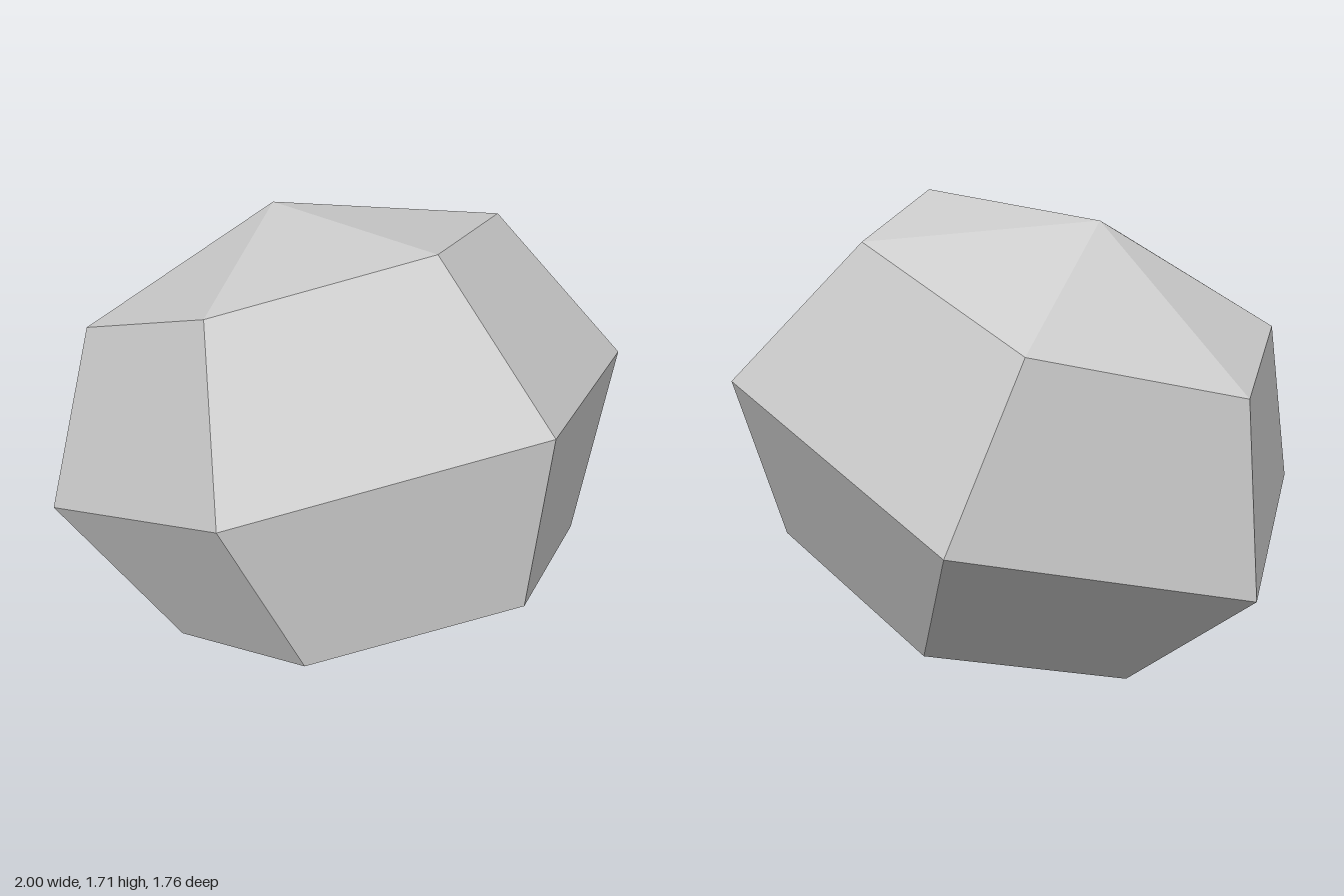
import * as THREE from 'three';

export function createModel() {
  const group = new THREE.Group();
  group.name = 'boulder';

  const stoneGrey = new THREE.MeshStandardMaterial({ color: 0xcccccc, flatShading: true });
  stoneGrey.name = 'stone grey';

  // Six-sided, four-band ball, stretched and tilted by three skewed axes
  const geometry = new THREE.SphereGeometry(1, 6, 4);
  const skew = new THREE.Matrix4().makeBasis(
    new THREE.Vector3(1, 0.41, -0.03),
    new THREE.Vector3(-0.328, 0.798, 0.008), // pole
    new THREE.Vector3(-0.09, -0.055, 0.999)
  );
  geometry.applyMatrix4(skew);

  // Rest the lowest corner on the ground
  geometry.computeBoundingBox();
  geometry.translate(0, -geometry.boundingBox.min.y, 0);

  // Separate the faces so each has its own flat normal
  const faceted = geometry.toNonIndexed();
  faceted.computeVertexNormals();

  const stone = new THREE.Mesh(faceted, stoneGrey);
  stone.name = 'stone';
  group.add(stone);
  return group;
}
